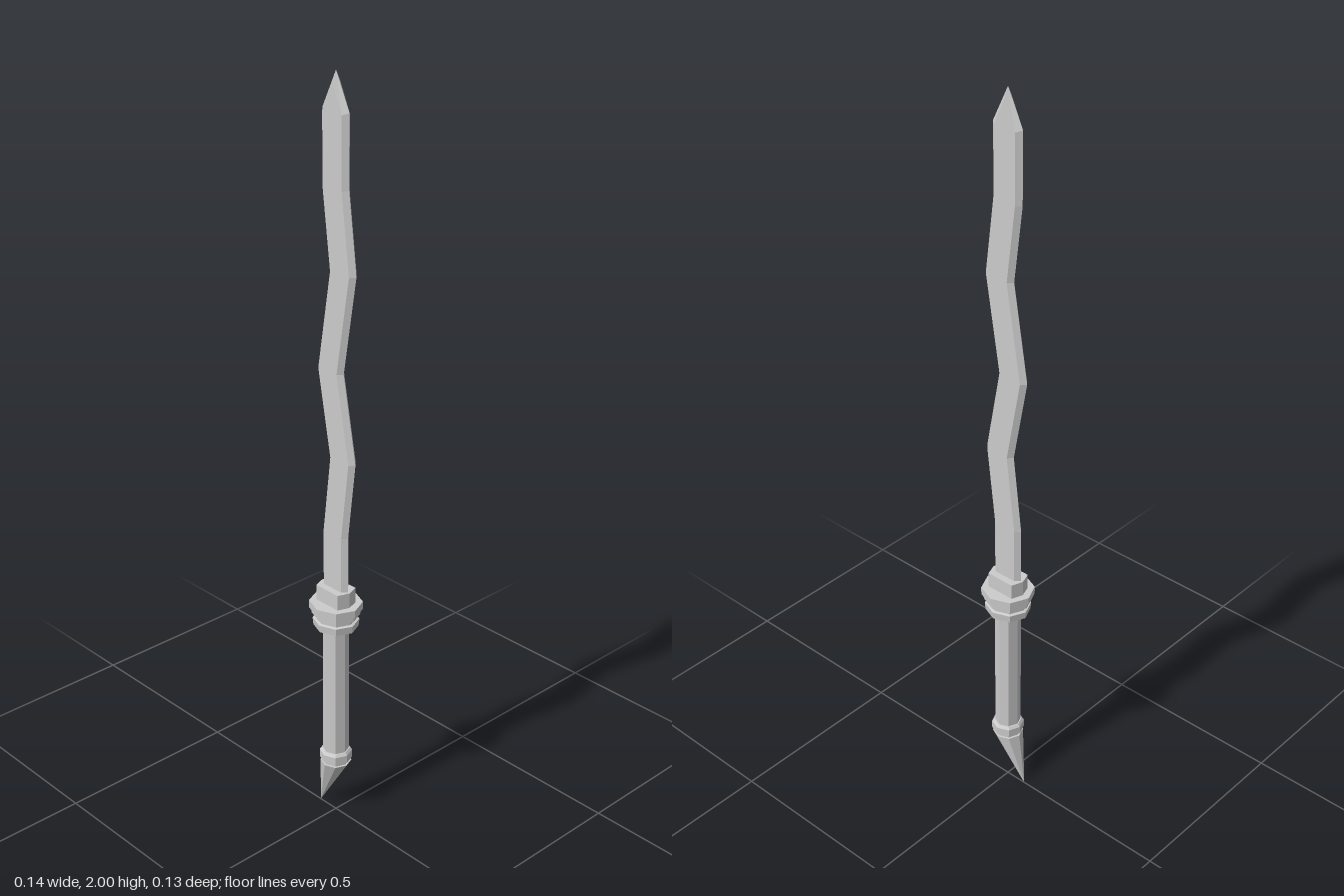
import * as THREE from 'three';

const material = new THREE.MeshStandardMaterial({ color: 0xcccccc, flatShading: true });

function part(name, geometry) {
  const g = geometry.toNonIndexed();
  g.computeVertexNormals();
  const mesh = new THREE.Mesh(g, material);
  mesh.name = name;
  return mesh;
}

// Joins cross-sections (bottom to top, counterclockwise seen from above) and caps both ends.
function loft(rings) {
  const n = rings[0].length, index = [], last = (rings.length - 1) * n;
  for (let k = 0; k < rings.length - 1; k++) {
    for (let i = 0; i < n; i++) {
      const a = k * n + i, b = k * n + (i + 1) % n;
      index.push(a, b, b + n, a, b + n, a + n);
    }
  }
  for (let i = 1; i < n - 1; i++) {
    index.push(0, i + 1, i, last, last + i, last + i + 1);
  }
  const g = new THREE.BufferGeometry();
  g.setAttribute('position', new THREE.Float32BufferAttribute(rings.flat(2), 3));
  g.setIndex(index);
  return g;
}

// Six-sided section: sharp edges at left and right, flat faces front and back.
function hexRing(left, right, bevel, depth, y, faceY = y) {
  return [
    [left, y, 0], [left + bevel, faceY, depth], [right - bevel, faceY, depth],
    [right, y, 0], [right - bevel, faceY, -depth], [left + bevel, faceY, -depth],
  ];
}

function octagonRing(radius, y, x = 0) {
  return Array.from({ length: 8 }, (_, i) => {
    const a = i * Math.PI / 4;
    return [x + radius * Math.cos(a), y, -radius * Math.sin(a)];
  });
}

// Eight-sided turned part; depthScale flattens it slightly front to back.
function turned(name, profile, depthScale = 1) {
  const points = profile.map(([r, y]) => new THREE.Vector2(r, y));
  return part(name, new THREE.LatheGeometry(points, 8).scale(1, 1, depthScale));
}

export function createModel() {
  const model = new THREE.Group();
  model.name = 'wavyDagger';

  // Wavy blade: height and sideways offset of each bend
  const bends = [[0.64, 0], [0.84, 0], [1.05, 0.025], [1.275, -0.017], [1.53, 0.025], [1.73, 0]];
  const half = 0.044, bevel = 0.012, depth = 0.0125;
  const rings = bends.map(([y, x]) => hexRing(x - half, x + half, bevel, depth, y));
  rings.push(hexRing(-half, half, bevel, depth, 1.91, 1.905));
  rings.push(hexRing(0, 0, 0, depth, 2, 1.975));
  model.add(part('blade', loft(rings)));

  // Collar holding the blade
  model.add(part('bladeCollar', loft([0.64, 0.687].map((y) => hexRing(-0.051, 0.05, 0.011, 0.031, y)))));

  // Stepped octagonal guard
  model.add(turned('guard', [
    [0, 0.575], [0.06, 0.575], [0.062, 0.595], [0.054, 0.597], [0.054, 0.606],
    [0.064, 0.609], [0.064, 0.62], [0.071, 0.624], [0.071, 0.645], [0, 0.645],
  ], 0.94));

  // Grip
  model.add(turned('grip', [[0, 0.19], [0.034, 0.19], [0.034, 0.585], [0, 0.585]]));

  // Ring below the grip, with a short neck
  model.add(turned('pommelRing', [
    [0, 0.155], [0.035, 0.155], [0.035, 0.166], [0.043, 0.17], [0.043, 0.192], [0.037, 0.199], [0, 0.199],
  ]));

  // Slanted pommel spike
  model.add(part('pommelSpike', loft([octagonRing(0, 0, -0.06), octagonRing(0.041, 0.16)])));

  return model;
}
